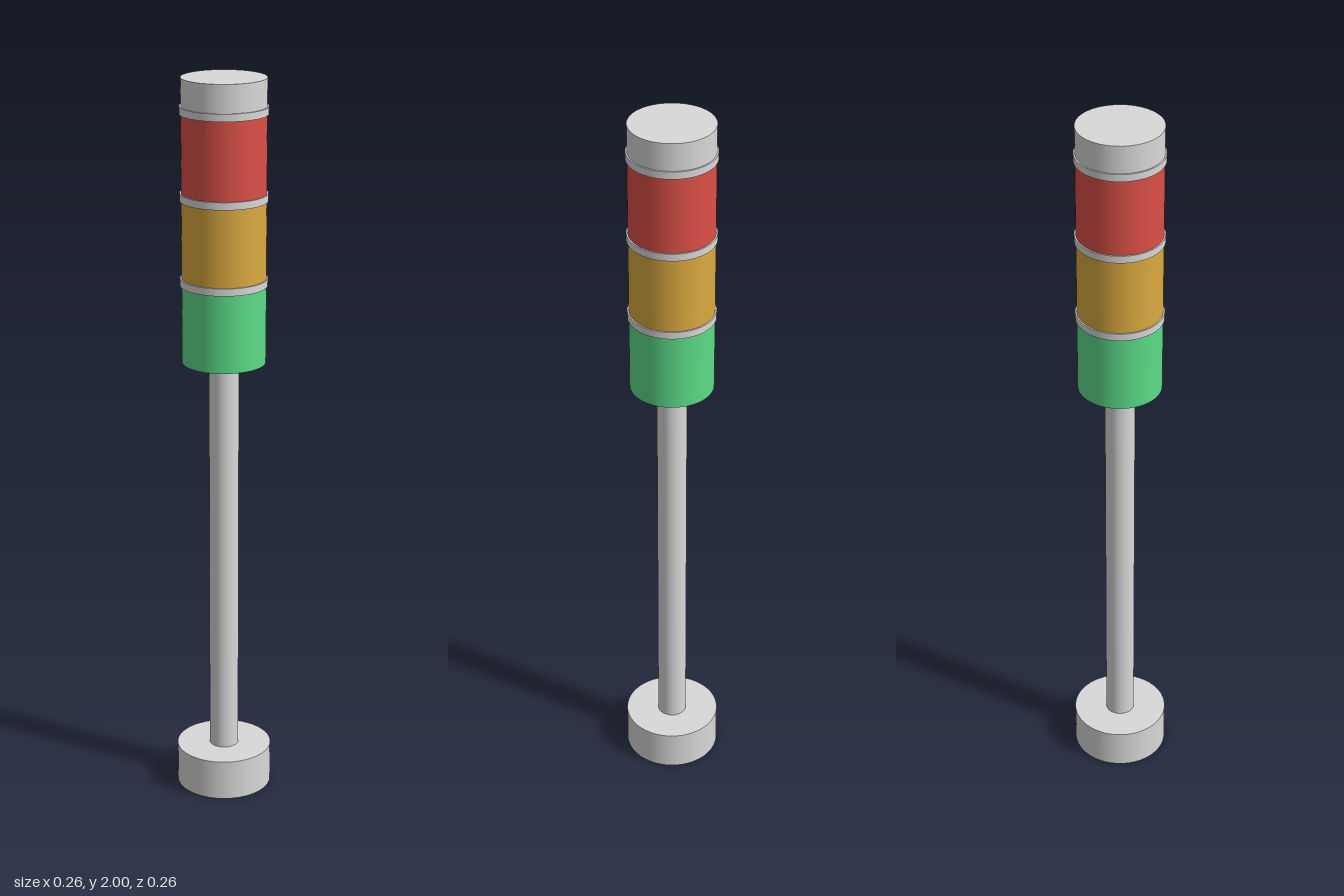
import * as THREE from 'three';

const material = (name, color) => {
  const m = new THREE.MeshStandardMaterial({ color });
  m.name = name;
  return m;
};

export function createModel() {
  const group = new THREE.Group();
  group.name = 'signalTower';

  const grey = material('lightGrey', 0xd9d9d9);
  const green = material('green', 0x5cdc88);
  const amber = material('amber', 0xdcaa40);
  const red = material('red', 0xdc5047);

  // Upright cylinder between two heights
  const addCylinder = (name, radius, bottom, top, mat) => {
    const mesh = new THREE.Mesh(new THREE.CylinderGeometry(radius, radius, top - bottom, 64), mat);
    mesh.position.y = (bottom + top) / 2;
    mesh.name = name;
    group.add(mesh);
  };

  // Foot and pole
  addCylinder('base', 0.131, 0, 0.114, grey);
  addCylinder('pole', 0.04, 0.114, 1.241, grey);

  // Stacked lenses, each closed by a slightly wider ring
  const start = 1.241, step = 0.227, ringHeight = 0.02;
  [['green', green], ['amber', amber], ['red', red]].forEach(([name, mat], i) => {
    const bottom = start + i * step;
    const ringBottom = bottom + 0.211;
    addCylinder(name + 'Lens', 0.112, i ? bottom + 0.004 : bottom, ringBottom, mat);
    addCylinder(name + 'Ring', 0.116, ringBottom, ringBottom + ringHeight, grey);
  });

  // Top cap
  addCylinder('cap', 0.112, start + 2 * step + 0.231, 2, grey);

  return group;
}
